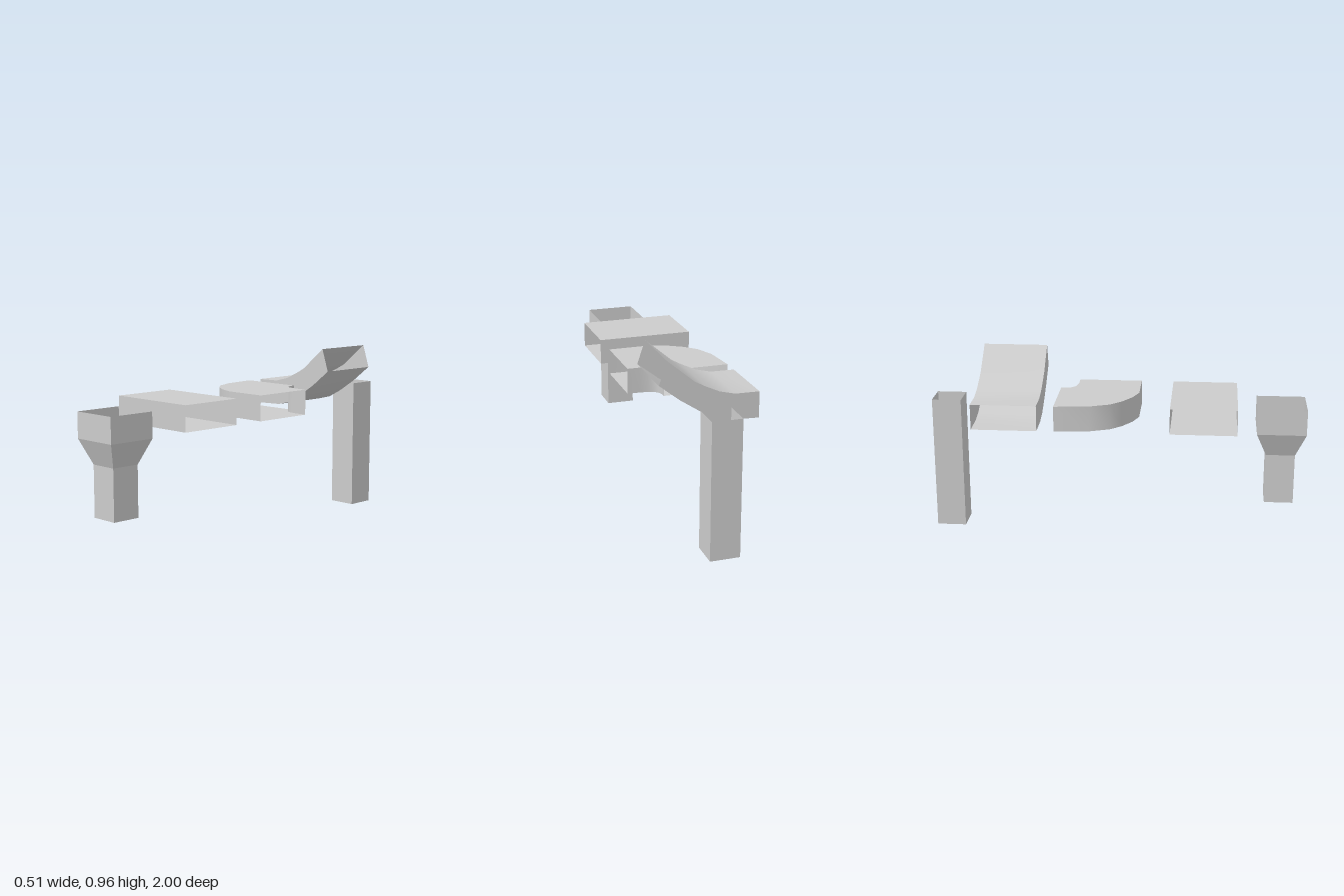
import * as THREE from 'three';

const TOP = 0.753, BOTTOM = 0.617, END = 0.257;

// Open four-sided duct lofted through rings of four corners.
// Each side is its own strip, so the long edges stay sharp.
function duct(name, rings, flat = false) {
  const positions = [], index = [];
  for (let side = 0; side < 4; side++) {
    rings.forEach((ring, i) => {
      const a = positions.length / 3;
      positions.push(...ring[side], ...ring[(side + 1) % 4]);
      if (i < rings.length - 1) index.push(a, a + 1, a + 3, a, a + 3, a + 2);
    });
  }
  let geometry = new THREE.BufferGeometry();
  geometry.setAttribute('position', new THREE.Float32BufferAttribute(positions, 3));
  geometry.setIndex(index);
  if (flat) geometry = geometry.toNonIndexed();
  geometry.computeVertexNormals();
  const material = new THREE.MeshStandardMaterial({ color: 0xcccccc, side: THREE.DoubleSide });
  const mesh = new THREE.Mesh(geometry, material);
  mesh.name = name;
  return mesh;
}

// Square upright duct from [height, half width] pairs, centred at depth z
function uprightDuct(name, z, profile) {
  return duct(name, profile.map(([y, h]) => [
    [-h, y, z + h], [h, y, z + h], [h, y, z - h], [-h, y, z - h],
  ]), true);
}

// Duct running along x, from matching upper and lower [x, y] lines
function runningDuct(name, z0, z1, upper, lower) {
  return duct(name, upper.map(([x, y], i) => {
    const [lx, ly] = lower[i];
    return [[x, y, z0], [x, y, z1], [lx, ly, z1], [lx, ly, z0]];
  }));
}

// Level duct from matching outer and inner [x, z] lines
function levelBend(name, outer, inner) {
  return duct(name, outer.map(([ox, oz], i) => {
    const [ix, iz] = inner[i];
    return [[ix, BOTTOM, iz], [ix, TOP, iz], [ox, TOP, oz], [ox, BOTTOM, oz]];
  }));
}

export function createModel() {
  const group = new THREE.Group();
  group.name = 'ductSections';

  // Wide square mouth tapering to a narrow square pipe
  group.add(uprightDuct('taperedHopper', 0.87,
    [[0.185, 0.077], [0.455, 0.077], [0.585, 0.13], [0.72, 0.13]]));

  // Straight level section
  group.add(runningDuct('straightDuct', 0.285, 0.635,
    [[-END, TOP], [END, TOP]], [[-END, BOTTOM], [END, BOTTOM]]));

  // Flat quarter-turn elbow, open to the back and to the left
  group.add(levelBend('elbowDuct',
    [[-END, -0.32], [-0.238, -0.135], [-0.196, -0.03], [-0.137, 0.03], [-0.058, 0.08], [0.026, 0.11], [END, 0.11]],
    [[0.09, -0.32], [0.09, -0.29], [0.1, -0.265], [0.12, -0.245], [0.15, -0.237], [0.19, -0.232], [END, -0.232]]));

  // Upward-curving section
  group.add(runningDuct('risingDuct', -0.757, -0.41,
    [[-END, TOP], [-0.13, 0.755], [-0.05, 0.775], [0.025, 0.81], [0.08, 0.84], [0.218, 0.957]],
    [[-END, BOTTOM], [-0.11, 0.622], [-0.03, 0.642], [0.05, 0.685], [0.15, 0.751], [0.258, 0.836]]));

  // Tall narrow pipe
  group.add(uprightDuct('tallPipe', -0.92, [[0, 0.078], [0.72, 0.078]]));

  return group;
}
